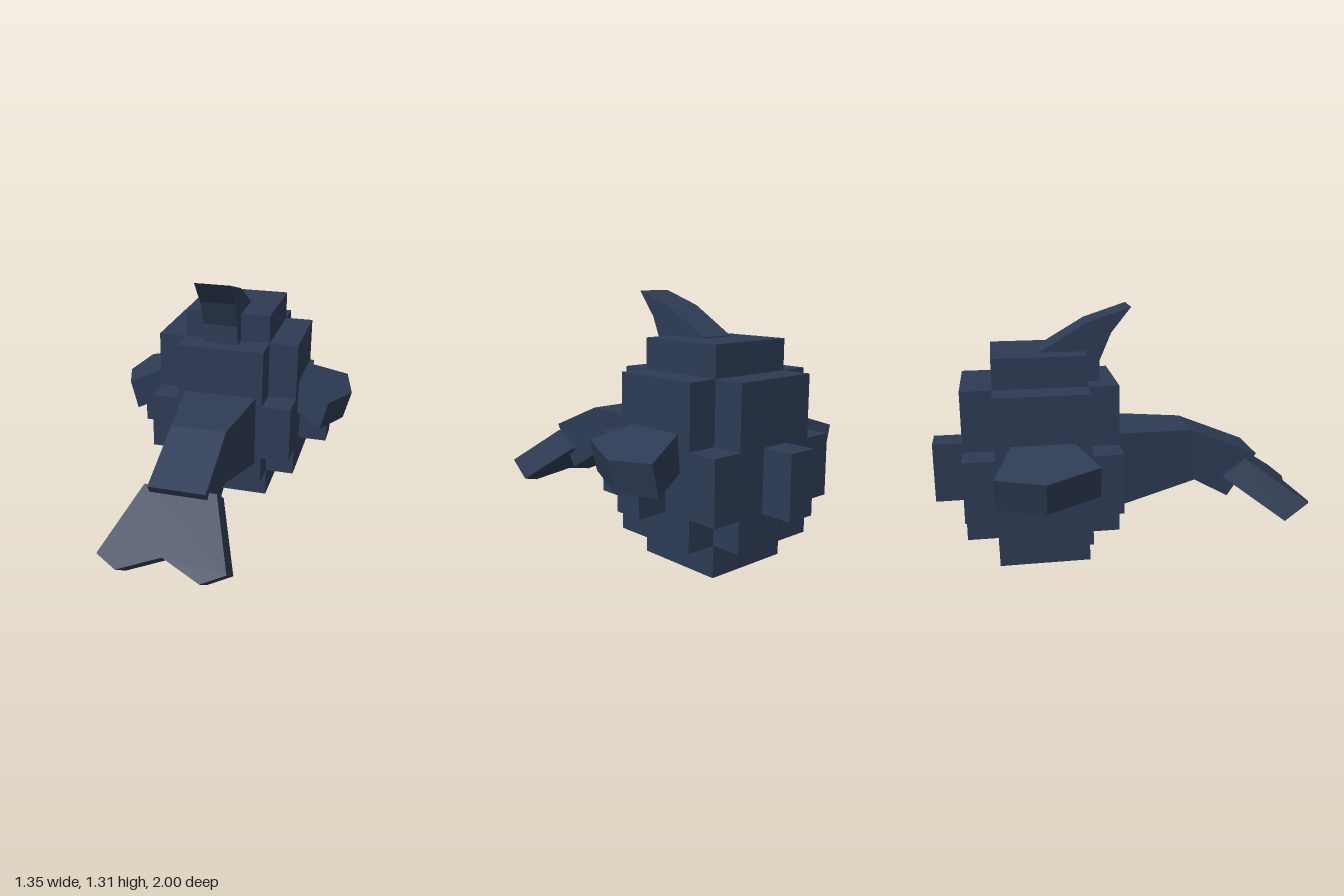
import * as THREE from 'three';

const navy = new THREE.MeshStandardMaterial({ color: 0x2d3b55 });
navy.name = 'navyBlue';

const V = (x, y, z) => new THREE.Vector3(x, y, z);

// Flat outline swept along one axis of a (possibly slanted) frame
function slab(points, xAxis, yAxis, sweep, origin) {
  const shape = new THREE.Shape(points.map(([a, b]) => new THREE.Vector2(a, b)));
  const geo = new THREE.ExtrudeGeometry(shape, { depth: 1, bevelEnabled: false });
  geo.applyMatrix4(new THREE.Matrix4().makeBasis(xAxis, yAxis, sweep).setPosition(origin));
  geo.computeVertexNormals();
  return geo;
}

// Rectangular sections [half width, top y, top z, bottom y, bottom z] joined into a solid
function loft(sections) {
  const rings = sections.map(([w, ty, tz, by, bz]) => [V(-w, ty, tz), V(w, ty, tz), V(w, by, bz), V(-w, by, bz)]);
  const pos = [];
  const quad = (a, b, c, d) => [a, b, c, a, c, d].forEach((p) => pos.push(p.x, p.y, p.z));
  for (let i = 0; i < rings.length - 1; i++) {
    for (let j = 0; j < 4; j++) {
      const k = (j + 1) % 4;
      quad(rings[i][k], rings[i][j], rings[i + 1][j], rings[i + 1][k]);
    }
  }
  const s = rings[0], e = rings[rings.length - 1];
  quad(s[0], s[1], s[2], s[3]);
  quad(e[3], e[2], e[1], e[0]);
  const geo = new THREE.BufferGeometry();
  geo.setAttribute('position', new THREE.Float32BufferAttribute(pos, 3));
  geo.computeVertexNormals();
  return geo;
}

export function createModel() {
  const model = new THREE.Group();
  model.name = 'blockyWhale';

  const add = (name, geo) => {
    const mesh = new THREE.Mesh(geo, navy);
    mesh.name = name;
    model.add(mesh);
    return mesh;
  };
  const box = (name, x0, x1, y0, y1, z0, z1) =>
    add(name, new THREE.BoxGeometry(x1 - x0, y1 - y0, z1 - z0))
      .position.set((x0 + x1) / 2, (y0 + y1) / 2, (z0 + z1) / 2);

  // Stepped body made of crossing blocks
  box('bodyCore', -0.235, 0.235, 0, 1.095, -0.685, -0.215);
  box('bodyWide', -0.392, 0.392, 0.16, 0.94, -0.685, -0.215);
  box('bodyLong', -0.235, 0.235, 0.16, 0.94, -0.842, -0.058);
  box('bodyBelt', -0.392, 0.392, 0.318, 0.63, -0.842, -0.058);
  box('snout', -0.078, 0.078, 0.318, 0.63, -1, -0.83);

  for (const s of [1, -1]) {
    const side = s > 0 ? 'left' : 'right';
    box(side + 'SideBlock', s > 0 ? 0.38 : -0.55, s > 0 ? 0.55 : -0.38, 0.318, 0.6, -0.528, -0.372);

    // Drooping side fin
    const outline = [[0.39, -0.3], [0.575, -0.197], [0.673, -0.46], [0.62, -0.695], [0.39, -0.607]];
    add(side + 'Fin', slab(outline.map(([x, z]) => [x * s, z]),
      V(1, -0.35 * s, 0), V(0, 0, 1), V(-0.041 * s, -0.16, 0), V(0, 0.836, 0)));
  }

  // Curved fin on top, slightly off centre
  add('topFin', slab(
    [[0.022, 1.312], [-0.08, 1.185], [-0.14, 1.045], [-0.14, 0.92], [-0.44, 0.92], [-0.44, 1.1], [-0.2, 1.24]],
    V(0, 0, 1), V(0, 1, 0), V(-0.19, 0, 0), V(0.075, 0, 0)));

  // Bent tail
  add('tail', loft([
    [0.2, 0.678, -0.06, 0.28, -0.06],
    [0.143, 0.66, 0.34, 0.38, 0.365],
    [0.143, 0.51, 0.705, 0.277, 0.55],
  ]));

  // Forked tail fluke
  add('tailFluke', slab(
    [[-0.18, 0], [0.18, 0], [0.31, 0.86], [0.2, 1], [0, 0.79], [-0.2, 1], [-0.31, 0.86]],
    V(1, 0, 0), V(0, -0.252, 0.355), V(0, -0.094, -0.124), V(0, 0.487, 0.645)));

  return model;
}
